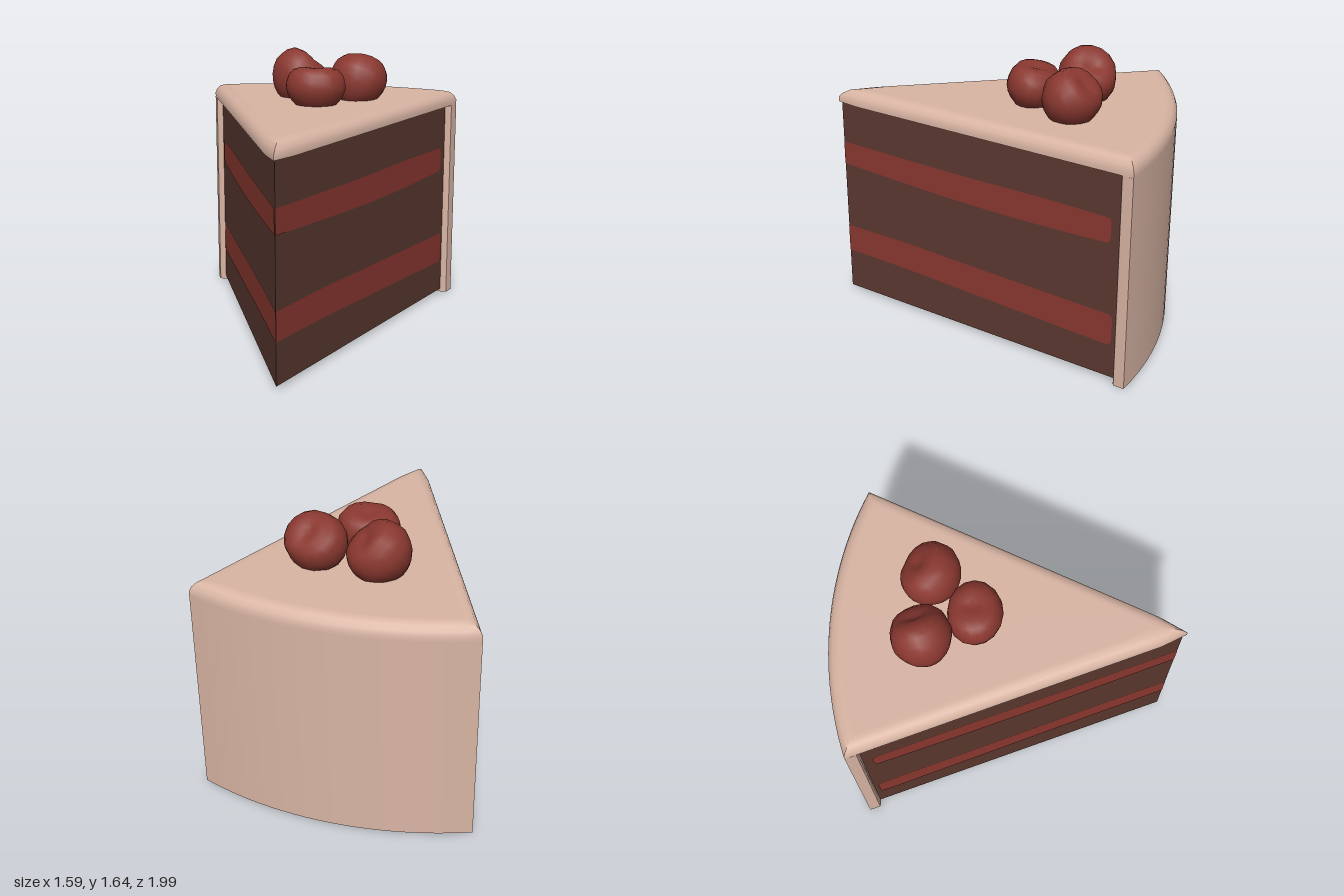
import * as THREE from 'three';
import { mergeVertices, toCreasedNormals } from 'three/addons/utils/BufferGeometryUtils.js';

const ARC_Z = 1.18; // centre of the curved back

function material(name, color, side = THREE.FrontSide) {
  const m = new THREE.MeshStandardMaterial({ color, side });
  m.name = name;
  return m;
}

function addMesh(parent, name, geometry, mat) {
  const mesh = new THREE.Mesh(geometry, mat);
  mesh.name = name;
  parent.add(mesh);
  return mesh;
}

// Points [x, z] along the curved back, from +x to -x
function backArc(radius, angle, steps = 24) {
  return Array.from({ length: steps + 1 }, (_, i) => {
    const t = angle * (1 - (2 * i) / steps);
    return [radius * Math.sin(t), ARC_Z - radius * Math.cos(t)];
  });
}

// Slice outline [x, z], counterclockwise from above, moved inward by inset
function wedge(tipZ, slope, radius, inset = 0, bulge = 0) {
  const a = Math.atan(slope);
  const tip = tipZ - inset / Math.sin(a);
  const r = radius - inset;
  const angle = a + Math.asin(((tip - ARC_Z) * Math.sin(a)) / r);
  const points = [[0, tip]];
  const shoulder = [0.14 * slope + bulge, tip - 0.14];
  if (bulge) points.push(shoulder);
  points.push(...backArc(r, angle));
  if (bulge) points.push([-shoulder[0], shoulder[1]]);
  return points;
}

// Upright solid from an [x, z] outline
function prism(points, y0, y1) {
  const shape = new THREE.Shape(points.map(([x, z]) => new THREE.Vector2(x, -z)));
  const geo = new THREE.ExtrudeGeometry(shape, { depth: y1 - y0, bevelEnabled: false });
  geo.rotateX(-Math.PI / 2).translate(0, y0, 0);
  return toCreasedNormals(geo, 0.6);
}

// Frosting slab with a rounded upper edge, built from inset outlines
function slabGeometry() {
  const profile = [[0, 1.25], [0, 1.278], [0.01, 1.304], [0.03, 1.328], [0.065, 1.34], [0.085, 1.34]];
  const positions = [];
  const index = [];
  const rings = profile.map(([inset, y]) => wedge(0.99, 0.432, 2.18, inset, 0.018).map(([x, z]) => [x, y, z]));
  const n = rings[0].length;
  rings.forEach((ring) => ring.forEach((p) => positions.push(...p)));
  const base = n * rings.length;
  const last = n * (rings.length - 1);
  positions.push(0, 1.25, -0.3, 0, 1.34, -0.3);
  for (let i = 0; i < n; i++) {
    const j = (i + 1) % n;
    for (let k = 0; k < last; k += n) {
      index.push(k + i, k + j, k + n + j, k + i, k + n + j, k + n + i);
    }
    index.push(base, j, i, base + 1, last + i, last + j);
  }
  const geo = new THREE.BufferGeometry();
  geo.setAttribute('position', new THREE.Float32BufferAttribute(positions, 3));
  geo.setIndex(index);
  return toCreasedNormals(geo, 0.85);
}

// Wavy filling band laid on the cut face; u runs from the tip to the back
function fillingGeometry(length, top, bottom) {
  const r = 0.035;
  const curve = (ys) =>
    new THREE.SplineCurve(ys.map((y, i) => new THREE.Vector2(((length - r) * i) / (ys.length - 1), y))).getPoints(16);
  const upper = curve(top);
  const lower = curve(bottom);
  const yt = top[top.length - 1];
  const yb = bottom[bottom.length - 1];
  const shape = new THREE.Shape();
  shape.moveTo(lower[0].x, lower[0].y);
  lower.slice(1).forEach((p) => shape.lineTo(p.x, p.y));
  shape.quadraticCurveTo(length - 0.005, yb, length - 0.003, yb + r);
  shape.lineTo(length, yt - r);
  shape.quadraticCurveTo(length, yt, length - r, yt);
  upper.reverse().slice(1).forEach((p) => shape.lineTo(p.x, p.y));
  const geo = new THREE.ShapeGeometry(shape, 6);
  const pos = geo.attributes.position;
  for (let i = 0; i < pos.count; i++) {
    const u = pos.getX(i);
    pos.setXYZ(i, u * 0.415 + 0.004, pos.getY(i), 0.97 - u);
  }
  geo.computeVertexNormals();
  return geo;
}

// Plump cherry with a stem dimple, a soft cleft and a narrower base
function cherryGeometry() {
  let geo = new THREE.SphereGeometry(1, 16, 12);
  geo.deleteAttribute('uv');
  geo.deleteAttribute('normal');
  geo = mergeVertices(geo, 1e-4);
  const pos = geo.attributes.position;
  const v = new THREE.Vector3();
  for (let i = 0; i < pos.count; i++) {
    v.fromBufferAttribute(pos, i);
    const polar = Math.acos(THREE.MathUtils.clamp(v.y, -1, 1));
    const dimple = 0.2 * Math.exp(-((polar / 0.45) ** 2));
    const cleft = v.y > 0 ? 0.07 * Math.exp(-((v.x / 0.25) ** 2)) * v.y : 0;
    const shoulder = 0.1 * Math.exp(-(((polar - 0.8) / 0.4) ** 2));
    v.multiplyScalar(1 - dimple - cleft + shoulder);
    if (v.y < 0) {
      v.x *= 1 + 0.15 * v.y;
      v.z *= 1 + 0.15 * v.y;
    }
    pos.setXYZ(i, v.x, v.y, v.z);
  }
  geo.computeVertexNormals();
  return geo;
}

export function createModel() {
  const sponge = material('chocolateSponge', 0x5a382f);
  const frosting = material('pinkFrosting', 0xd9b5a4);
  const filling = material('cherryFilling', 0x8a3730, THREE.DoubleSide);
  const red = material('cherryRed', 0x8a3830);

  const group = new THREE.Group();
  group.name = 'cakeSlice';

  // Sponge
  addMesh(group, 'sponge', prism(wedge(0.97, 0.415, 2.12), 0.02, 1.26), sponge);

  // Frosting on the top and the curved back
  addMesh(group, 'topFrosting', slabGeometry(), frosting);
  const end = [[0.777, -0.806], [0.769, -0.79], [0.755, -0.786], [0.737, -0.788]];
  const wall = [
    ...backArc(2.18, 0.3734),
    ...end.map(([x, z]) => [-x, z]),
    ...backArc(2.1, 0.355).reverse(),
    ...end.reverse(),
  ];
  addMesh(group, 'backFrosting', prism(wall, 0, 1.25), frosting);

  // Filling bands on both cut faces
  const bands = [
    ['lowerFilling', fillingGeometry(1.735, [0.44, 0.442, 0.43, 0.42, 0.41], [0.27, 0.265, 0.25, 0.235, 0.22])],
    ['upperFilling', fillingGeometry(1.71, [0.997, 0.99, 0.985, 0.988, 0.982], [0.855, 0.835, 0.82, 0.82, 0.833])],
  ];
  for (const [name, geo] of bands) {
    addMesh(group, name + 'Left', geo, filling);
    addMesh(group, name + 'Right', geo, filling).scale.x = -1;
  }

  // Cherries: position, size, tilt
  const cherry = cherryGeometry();
  const cherries = [
    ['frontCherry', [0, 1.43, -0.185], [0.18, 0.145, 0.155], [-0.15, 0, 0]],
    ['backRightCherry', [-0.155, 1.45, -0.465], [0.18, 0.165, 0.17], [-0.2, 0.3, -0.65]],
    ['backLeftCherry', [0.215, 1.445, -0.43], [0.18, 0.16, 0.165], [-0.75, -0.3, -0.2]],
  ];
  for (const [name, position, size, tilt] of cherries) {
    const mesh = addMesh(group, name, cherry, red);
    mesh.position.set(...position);
    mesh.scale.set(...size);
    mesh.rotation.set(...tilt);
  }
  return group;
}
